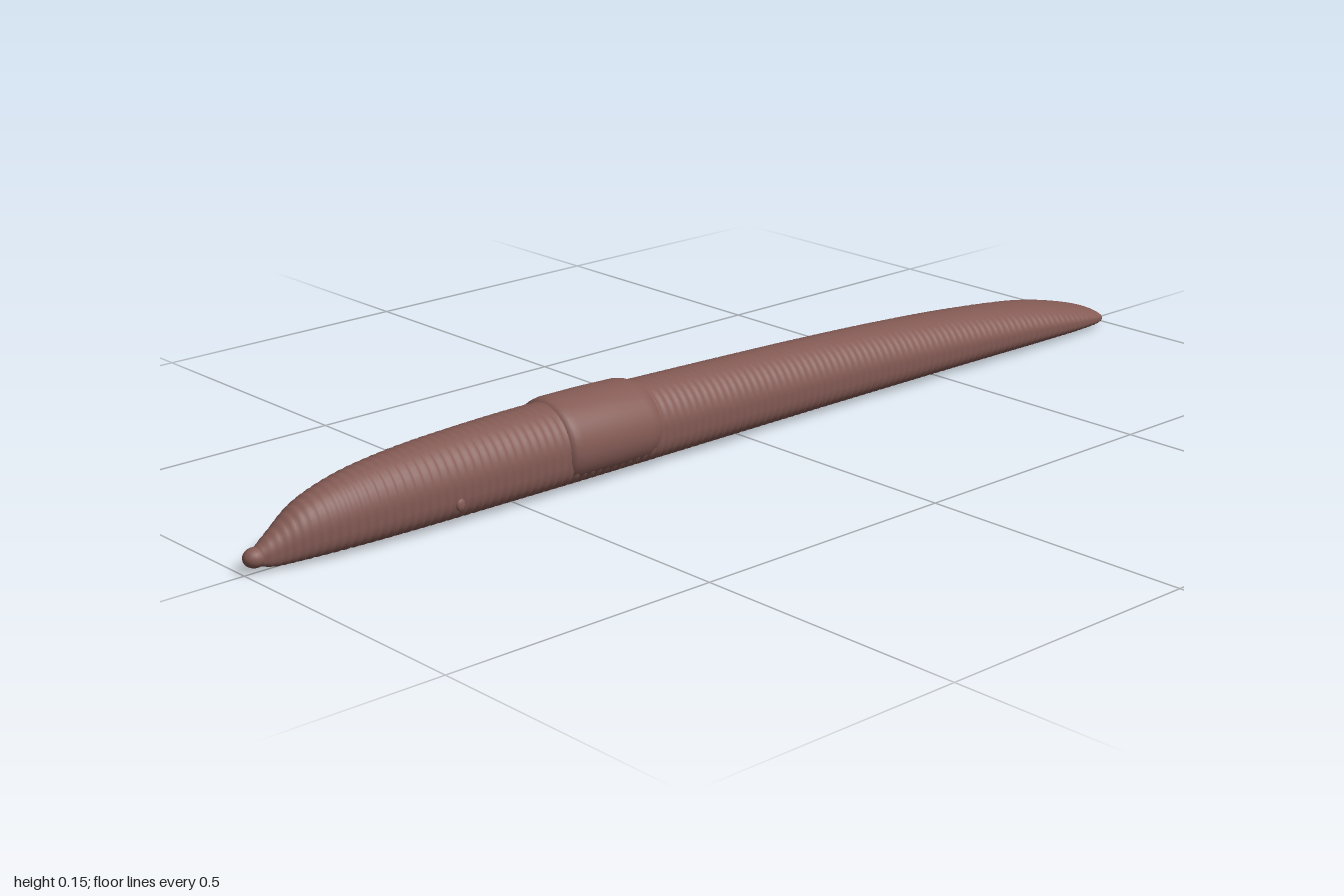
import * as THREE from 'three';

const SIDES = 40;

// Skin closed cross-sections, listed from front (+z) to back (-z).
// Each has an elliptical top and a squarer, flattened underside.
function loft(sections, lowPower) {
  const pos = [], index = [];
  sections.forEach(({ z, top, bottom, half, scale = 1 }, i) => {
    const mid = bottom + (top - bottom) * 0.47;
    for (let j = 0; j < SIDES; j++) {
      const a = (j / SIDES) * Math.PI * 2, c = Math.cos(a), s = Math.sin(a);
      const e = s < 0 ? 2 / lowPower : 1;
      const x = Math.sign(c) * Math.pow(Math.abs(c), e) * half;
      const y = s < 0 ? -Math.pow(-s, e) * (mid - bottom) : s * (top - mid);
      pos.push(x * scale, mid + y * scale, z);
      if (i < sections.length - 1) {
        const p = i * SIDES + j, q = i * SIDES + (j + 1) % SIDES;
        index.push(p, p + SIDES, q, q, p + SIDES, q + SIDES);
      }
    }
  });
  const geo = new THREE.BufferGeometry();
  geo.setAttribute('position', new THREE.Float32BufferAttribute(pos, 3));
  geo.setIndex(index);
  geo.computeVertexNormals();
  return geo;
}

export function createModel() {
  const group = new THREE.Group();
  const skin = new THREE.MeshStandardMaterial({ color: 0x855b55 });
  skin.name = 'reddish brown skin';

  const add = (name, geo) => {
    const mesh = new THREE.Mesh(geo, skin);
    mesh.name = name;
    group.add(mesh);
    return mesh;
  };

  // Body outline: top height, half width, z
  const outline = new THREE.CatmullRomCurve3([
    [0.03, 0.0003, 0.99], [0.042, 0.014, 0.975], [0.064, 0.025, 0.945],
    [0.094, 0.039, 0.9], [0.119, 0.054, 0.82], [0.134, 0.064, 0.71],
    [0.142, 0.07, 0.54], [0.143, 0.073, 0.38], [0.138, 0.073, 0.2],
    [0.132, 0.072, 0], [0.125, 0.071, -0.2], [0.115, 0.071, -0.4],
    [0.1, 0.071, -0.6], [0.076, 0.07, -0.8], [0.054, 0.063, -0.9],
    [0.036, 0.05, -0.96], [0.022, 0.032, -0.988], [0.01, 0.0003, -1],
  ].map((p) => new THREE.Vector3(...p)), false, 'centripetal');
  outline.arcLengthDivisions = 1000;

  // Ringed body: narrow grooves between rounded segments
  const RINGS = 126, STEPS = 4;
  const sections = outline.getSpacedPoints(RINGS * STEPS).map((p, i) => {
    const rise = Math.max(0, (p.z - 0.94) / 0.05);
    return {
      z: p.z, top: p.x, half: Math.max(p.y, 0.0003),
      bottom: Math.min(0.004 + 0.014 * rise * rise, p.x - 0.001),
      scale: 0.965 + 0.035 * Math.sqrt(Math.sin((i % STEPS) / STEPS * Math.PI)),
    };
  });
  add('ringedBody', loft(sections, 3.1));

  // Smooth saddle band with bevelled ends
  const band = [
    [0.413, -0.012], [0.41, -0.006], [0.403, -0.002], [0.39, 0],
    [0.31, 0.001], [0.24, 0], [0.225, -0.003], [0.216, -0.007], [0.208, -0.013],
  ].map(([z, d]) => ({
    z, top: 0.148 + d + (z - 0.31) * 0.02, half: 0.081 + d, bottom: 0.001 - d,
  }));
  add('saddleBand', loft(band, 2.1));

  // Small rounded snout
  const snout = add('snout', new THREE.SphereGeometry(0.018, 20, 14));
  snout.scale.set(0.95, 0.9, 1.1);
  snout.position.set(0, 0.025, 0.98);

  // Pore swellings low on both sides
  for (const side of [-1, 1]) {
    const pore = add(side > 0 ? 'leftPore' : 'rightPore', new THREE.SphereGeometry(0.011, 14, 10));
    pore.scale.set(0.45, 1, 0.8);
    pore.position.set(side * 0.065, 0.04, 0.635);
  }
  return group;
}
